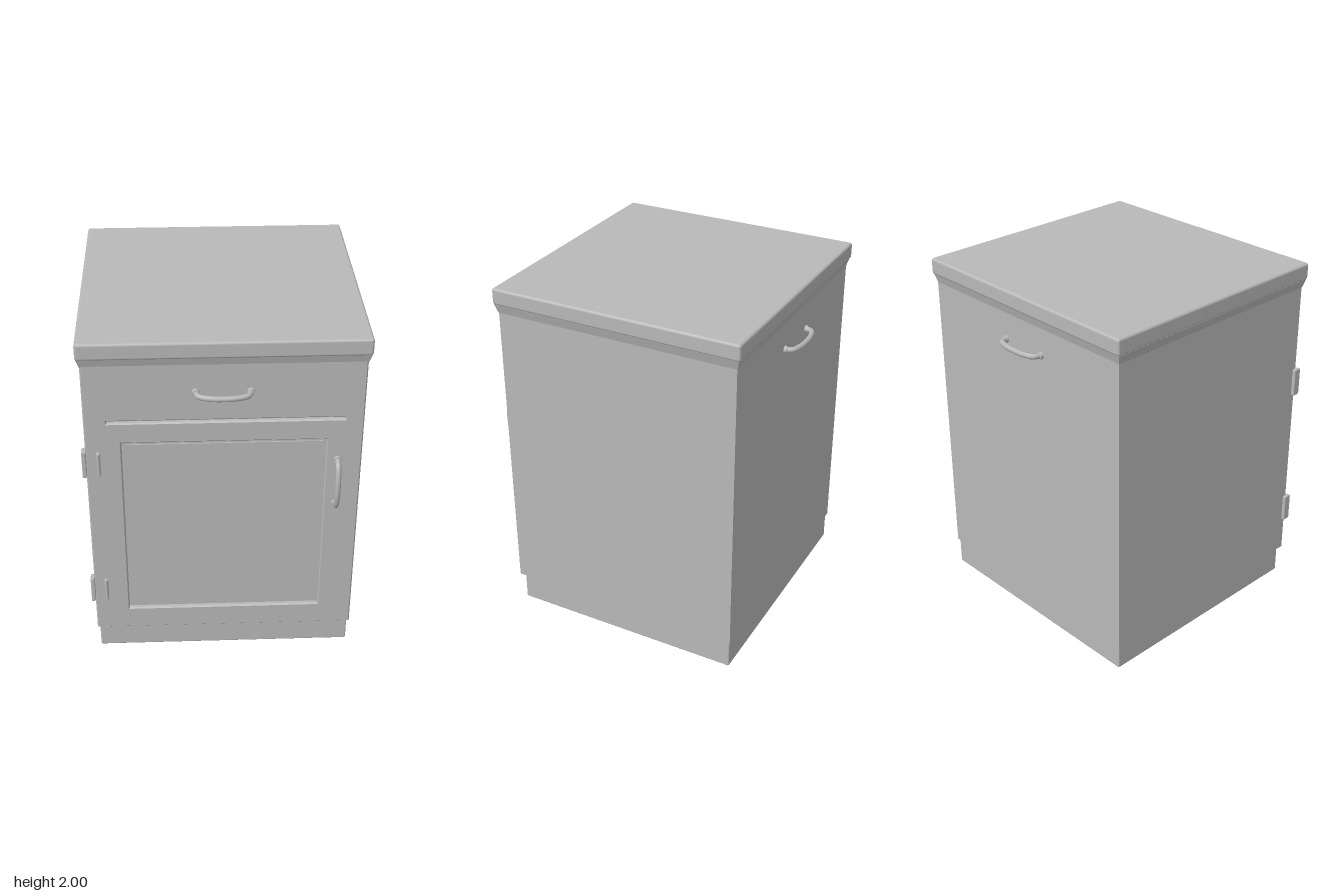
import * as THREE from 'three';
import { RoundedBoxGeometry } from 'three/addons/geometries/RoundedBoxGeometry.js';

const grey = new THREE.MeshStandardMaterial({ color: 0xb8b8b8 });
grey.name = 'plain grey';

export function createModel() {
  const model = new THREE.Group();
  model.name = 'cabinet';

  const add = (name, geometry, parent = model) => {
    const mesh = new THREE.Mesh(geometry, grey);
    mesh.name = name;
    parent.add(mesh);
    return mesh;
  };

  // Box from its limits, with optional edge rounding
  const block = (name, x0, x1, y0, y1, z0, z1, r = 0) => {
    const size = [x1 - x0, y1 - y0, z1 - z0];
    const geometry = r ? new RoundedBoxGeometry(...size, 3, r) : new THREE.BoxGeometry(...size);
    geometry.translate((x0 + x1) / 2, (y0 + y1) / 2, (z0 + z1) / 2);
    return add(name, geometry);
  };

  const rect = (x0, x1, y0, y1, Type = THREE.Path) => {
    const p = new Type();
    p.moveTo(x0, y0);
    p.lineTo(x1, y0);
    p.lineTo(x1, y1);
    p.lineTo(x0, y1);
    p.closePath();
    return p;
  };

  // Plinth, carcass and worktop
  block('plinth', -0.707, 0.71, 0, 0.17, -0.69, 0.65, 0.008);
  block('carcass', -0.718, 0.718, 0.16, 1.92, -0.697, 0.662);
  block('worktop', -0.737, 0.737, 1.908, 2, -0.72, 0.705, 0.014);

  // Flared moulding below the worktop
  const flare = new THREE.BoxGeometry(1.436, 0.05, 1.38);
  const pos = flare.attributes.position;
  for (let i = 0; i < pos.count; i++) {
    if (pos.getY(i) > 0) pos.setXYZ(i, pos.getX(i) * 1.02, pos.getY(i), pos.getZ(i) * 1.02);
  }
  flare.computeVertexNormals();
  flare.translate(0, 1.885, -0.007);
  add('moulding', flare);

  // Front face: bevelled frame around the sunk door panel, with door gaps
  const face = rect(-0.718, 0.718, 0.16, 1.915, THREE.Shape);
  face.holes.push(
    rect(-0.53, 0.53, 0.3, 1.41),
    rect(-0.6, 0.62, 1.531, 1.543),
    rect(-0.663, -0.657, 0.17, 1.44),
  );
  const frame = new THREE.ExtrudeGeometry(face, {
    depth: 0.016, bevelThickness: 0.007, bevelSize: 0.007, bevelOffset: -0.007, bevelSegments: 1,
  });
  frame.translate(0, 0, 0.662);
  add('frontFrame', frame);
  block('doorPanel', -0.51, 0.51, 0.32, 1.39, 0.655, 0.668);

  // Bowed pull handles, running along local x and standing out along local z
  const handle = (name, length, reach) => {
    const group = new THREE.Group();
    group.name = name;
    const h = length / 2;
    const points = [[-h, 0], [-h * 0.9, 0.6], [-h * 0.5, 0.92], [0, 1],
      [h * 0.5, 0.92], [h * 0.9, 0.6], [h, 0]]
      .map(([x, z]) => new THREE.Vector3(x, 0, z * reach));
    add('bar', new THREE.TubeGeometry(new THREE.CatmullRomCurve3(points), 36, 0.015, 10), group);
    for (const s of [-1, 1]) {
      const foot = new THREE.CylinderGeometry(0.018, 0.022, 0.02, 12);
      foot.rotateX(Math.PI / 2);
      foot.translate(s * h, 0, 0.006);
      add('foot', foot, group);
    }
    model.add(group);
    return group;
  };
  handle('drawerHandle', 0.28, 0.074).position.set(-0.005, 1.71, 0.685);
  const back = handle('backHandle', 0.28, 0.064);
  back.position.set(-0.005, 1.71, -0.697);
  back.rotation.y = Math.PI;
  const door = handle('doorHandle', 0.28, 0.078);
  door.position.set(0.592, 1.145, 0.682);
  door.rotation.z = Math.PI / 2;

  // Hinges: plate on the cabinet edge and leaf with pin on the door edge
  for (const y of [0.45, 1.29]) {
    block('hingePlate', -0.738, -0.715, y - 0.08, y + 0.08, 0.655, 0.7, 0.005);
    block('hingeLeaf', -0.662, -0.642, y - 0.07, y + 0.07, 0.68, 0.7, 0.005);
    const pin = new THREE.CylinderGeometry(0.009, 0.009, 0.13, 10);
    pin.translate(-0.652, y, 0.698);
    add('hingePin', pin);
  }
  return model;
}
